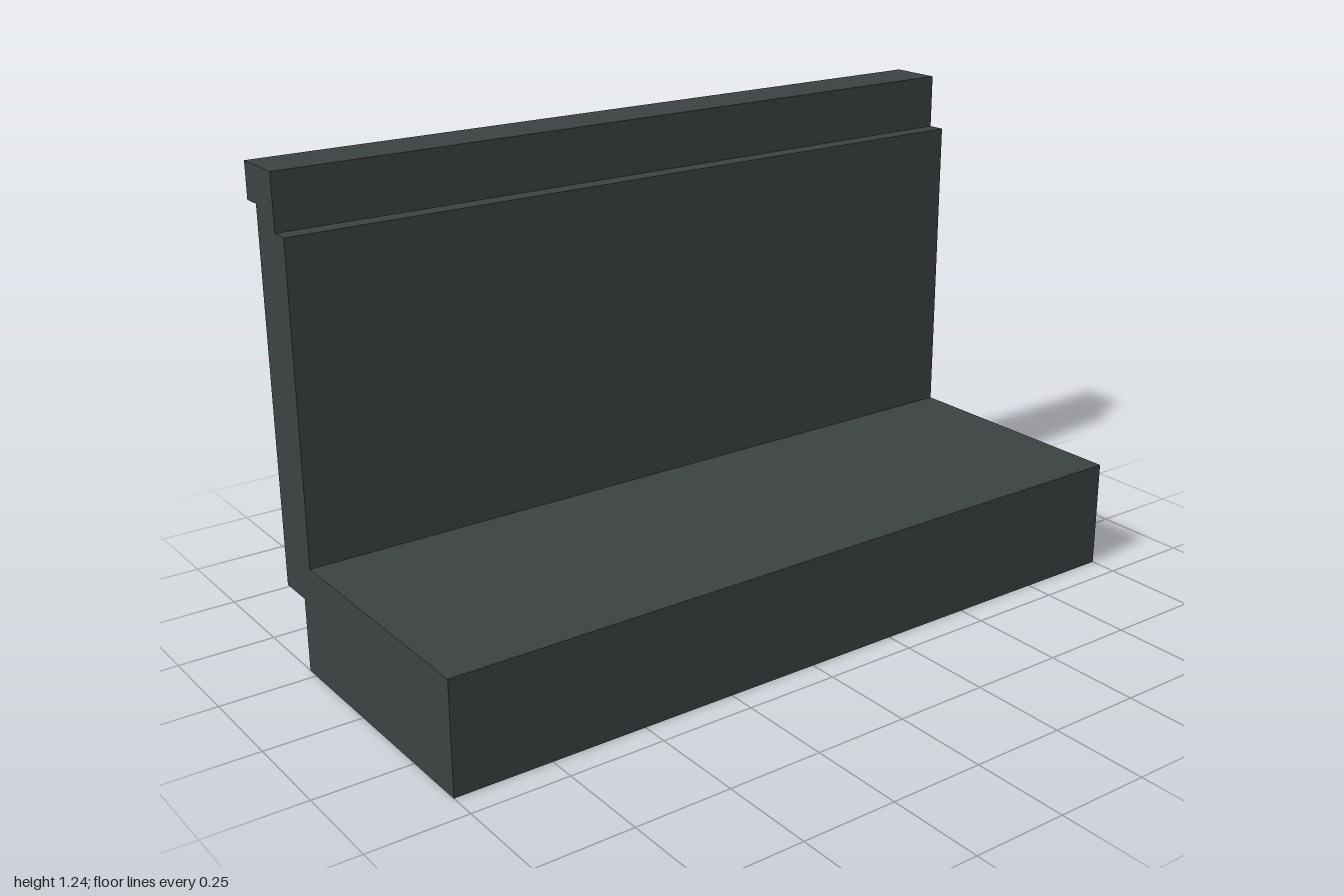
import * as THREE from 'three';

const LENGTH = 2;

// Stepped cross-section in x, y, counter-clockwise from the base's lower corner
const PROFILE = [
  [-0.285, 0], [0.427, 0], [0.427, 0.288],           // base slab
  [-0.24, 0.288], [-0.24, 1.098], [-0.287, 1.098],   // inner wall face and ledge
  [-0.287, 1.24], [-0.428, 1.24], [-0.428, 1.148],   // top rail
  [-0.38, 1.148], [-0.38, 0.193], [-0.285, 0.193],   // outer wall face and foot step
];

export function createModel() {
  const group = new THREE.Group();
  group.name = 'steppedParapet';

  const darkSlate = new THREE.MeshStandardMaterial({ color: 0x3c4242 });
  darkSlate.name = 'darkSlate';

  // One continuous section: base, wall and rail
  const shape = new THREE.Shape(PROFILE.map(([x, y]) => new THREE.Vector2(x, y)));
  const geometry = new THREE.ExtrudeGeometry(shape, { depth: LENGTH, bevelEnabled: false });
  geometry.translate(0, 0, -LENGTH / 2);

  const section = new THREE.Mesh(geometry, darkSlate);
  section.name = 'baseWallAndRail';
  group.add(section);
  return group;
}
